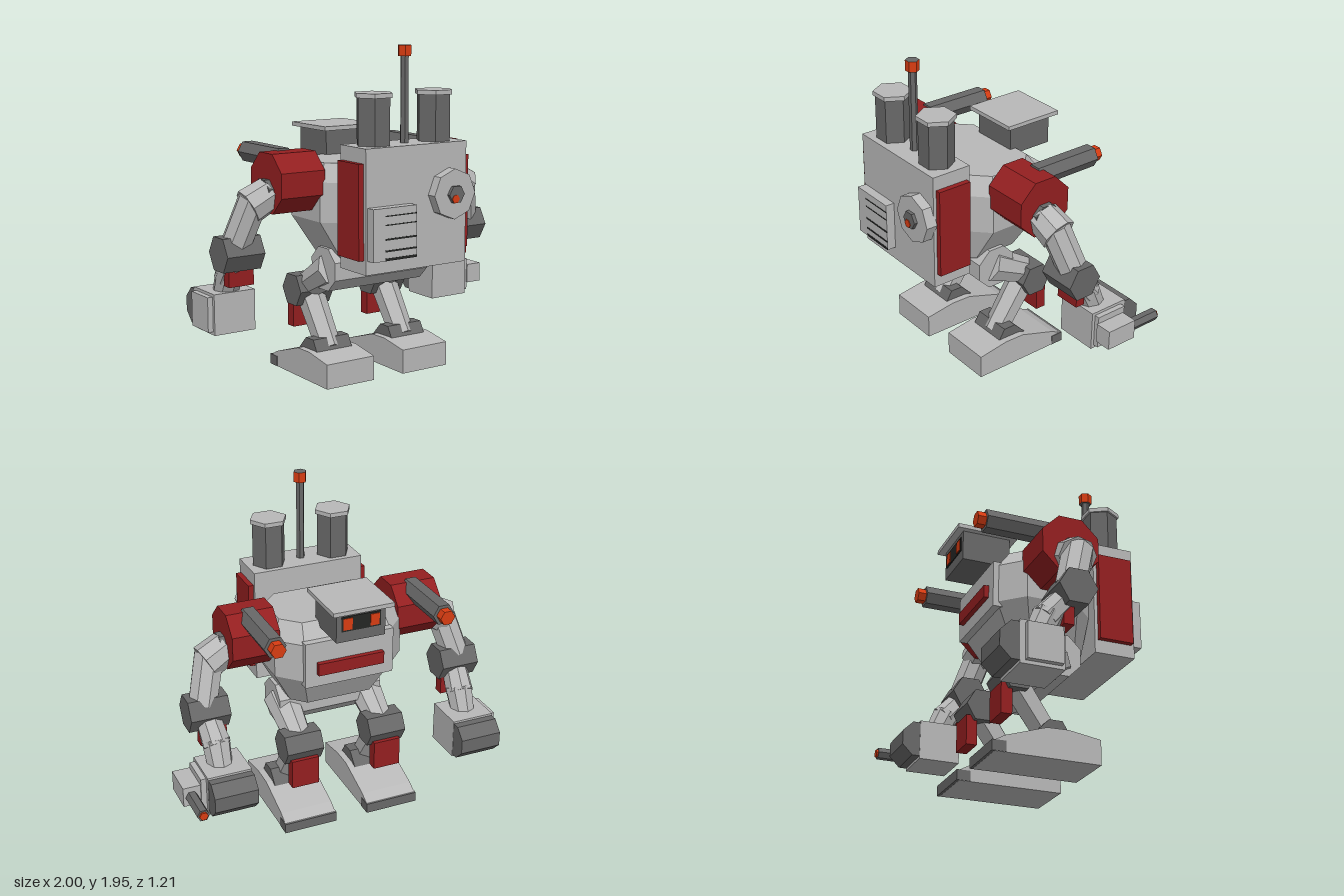
import * as THREE from 'three';

const mat = (name, color) => {
  const m = new THREE.MeshStandardMaterial({ color, flatShading: true });
  m.name = name;
  return m;
};

export function createModel() {
  const root = new THREE.Group();
  root.name = 'walkerRobot';
  const body = new THREE.Group();
  body.name = 'body';
  body.position.x = -0.053; // the hand gun sticks out on one side only
  root.add(body);

  const light = mat('light grey', 0xb8b8b8);
  const dark = mat('dark grey', 0x686868);
  const red = mat('armour red', 0x941f20);
  const orange = mat('glow orange', 0xd83c12);
  const black = mat('slot black', 0x242624);

  const add = (name, geo, material) => {
    const m = new THREE.Mesh(geo, material);
    m.name = name;
    body.add(m);
    return m;
  };
  // Box from its limits on each axis
  const box = (name, material, x0, x1, y0, y1, z0, z1) =>
    add(name, new THREE.BoxGeometry(Math.abs(x1 - x0), y1 - y0, z1 - z0)
      .translate((x0 + x1) / 2, (y0 + y1) / 2, (z0 + z1) / 2), material);
  // Prism with its axis along x, y or z
  const prism = (name, material, axis, r, len, sides, phase, x, y, z) => {
    const g = new THREE.CylinderGeometry(r, r, len, sides).rotateY(phase);
    if (axis === 'x') g.rotateZ(Math.PI / 2);
    if (axis === 'z') g.rotateX(Math.PI / 2);
    return add(name, g.translate(x, y, z), material);
  };
  // Tapered limb between two points
  const limb = (name, material, a, b, ra, rb, sides) => {
    const A = new THREE.Vector3(...a), B = new THREE.Vector3(...b);
    const d = B.clone().sub(A);
    const m = add(name, new THREE.CylinderGeometry(rb, ra, d.length(), sides), material);
    m.position.copy(A).add(B).multiplyScalar(0.5);
    m.quaternion.setFromUnitVectors(new THREE.Vector3(0, 1, 0), d.normalize());
  };
  // Side profile of [z, y] points extruded along x
  const profile = (name, material, pts, x, width) => {
    const s = new THREE.Shape(pts.map(([z, y]) => new THREE.Vector2(-z, y)));
    add(name, new THREE.ExtrudeGeometry(s, { depth: width, bevelEnabled: false })
      .translate(0, 0, -width / 2).rotateY(Math.PI / 2).translate(x, 0, 0), material);
  };
  // Stack of chamfered rectangles: [y, half width, z min, z max, chamfer]
  const loft = (name, material, levels) => {
    const pos = [], idx = [];
    for (const [y, w, a, b, c] of levels) {
      for (const [x, z] of [[w, b - c], [w, a + c], [w - c, a], [c - w, a],
        [-w, a + c], [-w, b - c], [c - w, b], [w - c, b]]) pos.push(x, y, z);
    }
    for (let k = 0; k < levels.length - 1; k++) {
      for (let i = 0; i < 8; i++) {
        const p = k * 8 + i, q = k * 8 + (i + 1) % 8;
        idx.push(p, q, q + 8, p, q + 8, p + 8);
      }
    }
    const t = (levels.length - 1) * 8;
    for (let i = 1; i < 7; i++) idx.push(0, i + 1, i, t, t + i, t + i + 1);
    const g = new THREE.BufferGeometry();
    g.setAttribute('position', new THREE.Float32BufferAttribute(pos, 3));
    g.setIndex(idx);
    g.computeVertexNormals();
    add(name, g, material);
  };

  const OCT = Math.PI / 8, HEX = Math.PI / 6;

  // Torso and pelvis
  loft('torso', light, [
    [0.735, 0.28, -0.18, 0.25, 0.08],
    [0.95, 0.40, -0.30, 0.27, 0.13],
    [1.18, 0.40, -0.30, 0.27, 0.13],
    [1.285, 0.35, -0.22, 0.21, 0.10],
  ]);
  box('chestPanel', light, -0.275, 0.275, 0.92, 1.2, -0.328, -0.27);
  box('chestBar', red, -0.205, 0.205, 1.0, 1.075, -0.358, -0.32);
  prism('pelvis', light, 'x', 0.135, 0.66, 8, OCT, 0, 0.66, 0.06);

  // Head
  box('head', dark, -0.15, 0.15, 1.25, 1.435, -0.47, -0.18);
  box('headLid', light, -0.185, 0.185, 1.432, 1.457, -0.512, -0.14);
  box('visor', black, -0.12, 0.12, 1.315, 1.405, -0.475, -0.468);

  // Backpack
  box('backpack', light, -0.347, 0.348, 0.705, 1.405, 0.27, 0.52);
  box('backpackPlate', light, -0.335, -0.042, 0.785, 1.08, 0.51, 0.575);
  for (const [y, h] of [[1.035, 0.006], [0.985, 0.006], [0.905, 0.01], [0.84, 0.01], [0.793, 0.014]])
    box('ventSlot', black, -0.255, -0.042, y - h / 2, y + h / 2, 0.572, 0.577);
  prism('exhaustRing', light, 'z', 0.145, 0.07, 8, 0, 0.223, 1.115, 0.545);
  prism('exhaustPort', dark, 'z', 0.054, 0.05, 6, HEX, 0.223, 1.115, 0.575);
  prism('exhaustGlow', orange, 'z', 0.026, 0.006, 6, HEX, 0.212, 1.09, 0.601);
  prism('antenna', dark, 'y', 0.025, 0.49, 6, HEX, 0, 1.648, 0.397);
  add('antennaTip', new THREE.CylinderGeometry(0.04, 0.04, 0.062, 6).rotateY(HEX)
    .translate(0, 1.92, 0.397), [orange, dark, dark]);

  for (const s of [-1, 1]) {
    box('eye', orange, s * 0.055, s * 0.11, 1.325, 1.395, -0.479, -0.472);

    // Backpack stacks and side panels
    prism('stack', dark, 'y', 0.102, 0.27, 6, HEX, s * 0.208, 1.538, 0.392);
    prism('stackCap', light, 'y', 0.114, 0.026, 6, HEX, s * 0.208, 1.683, 0.392);
    box('sidePanel', red, s * 0.34, s * 0.38, 0.785, 1.322, 0.29, 0.5);

    // Shoulder with cannon
    prism('shoulder', red, 'x', 0.184, 0.285, 8, OCT, s * 0.515, 1.18, -0.018);
    prism('cannon', dark, 'z', 0.066, 0.42, 6, HEX, s * 0.515, 1.305, -0.27);
    prism('cannonTip', orange, 'z', 0.046, 0.06, 6, HEX, s * 0.515, 1.305, -0.5);

    // Arm
    prism('shoulderJoint', dark, 'x', 0.09, 0.05, 8, OCT, s * 0.665, 1.12, -0.015);
    limb('upperArm', light, [s * 0.64, 1.12, -0.015], [s * 0.77, 1.05, -0.03], 0.1, 0.108, 8);
    limb('upperArm', light, [s * 0.74, 1.1, -0.015], [s * 0.82, 0.82, -0.1], 0.09, 0.088, 8);
    prism('elbow', dark, 'x', 0.112, 0.24, 6, 0, s * 0.805, 0.785, -0.1);
    limb('forearm', light, [s * 0.805, 0.76, -0.12], [s * 0.79, 0.62, -0.24], 0.075, 0.085, 8);
    limb('forearm', light, [s * 0.79, 0.65, -0.22], [s * 0.79, 0.46, -0.31], 0.085, 0.07, 8);
    box('forearmGuard', red, s * 0.7, s * 0.86, 0.585, 0.7, -0.16, -0.1);

    // Hand
    box('hand', light, s * 0.65, s * 0.915, 0.295, 0.537, -0.43, -0.18);
    box('handPlate', light, s * 0.905, s * 0.947, 0.315, 0.52, -0.4, -0.2);
    prism('knuckles', dark, 'x', 0.115, 0.26, 8, OCT, s * 0.782, 0.418, -0.432);

    // Leg
    const x = s * 0.267;
    limb('thigh', light, [x, 0.66, 0.08], [x, 0.5, -0.22], 0.11, 0.08, 8);
    prism('knee', dark, 'x', 0.105, 0.23, 6, 0, x, 0.49, -0.21);
    box('kneePad', red, x - 0.085, x + 0.085, 0.25, 0.43, -0.305, -0.24);
    limb('shin', light, [x, 0.16, 0.02], [x, 0.48, -0.2], 0.075, 0.085, 6);
    profile('ankle', dark, [[0.085, 0.16], [0.04, 0.237], [-0.04, 0.237], [-0.115, 0.16]], x, 0.245);
    profile('foot', light, [[0.25, 0], [0.25, 0.145], [0.06, 0.175], [-0.07, 0.172],
      [-0.31, 0.095], [-0.37, 0.062], [-0.37, 0]], x, 0.325);
    box('toeCap', dark, x - 0.166, x + 0.166, 0.001, 0.062, -0.386, -0.305);
  }

  // Wrist gun on one hand
  box('wristGunBox', light, 0.945, 1.05, 0.36, 0.48, -0.39, -0.19);
  prism('wristGunBarrel', dark, 'z', 0.037, 0.215, 6, HEX, 1.0, 0.416, -0.485);
  prism('wristGunTip', orange, 'z', 0.026, 0.012, 6, HEX, 1.0, 0.416, -0.598);

  return root;
}
